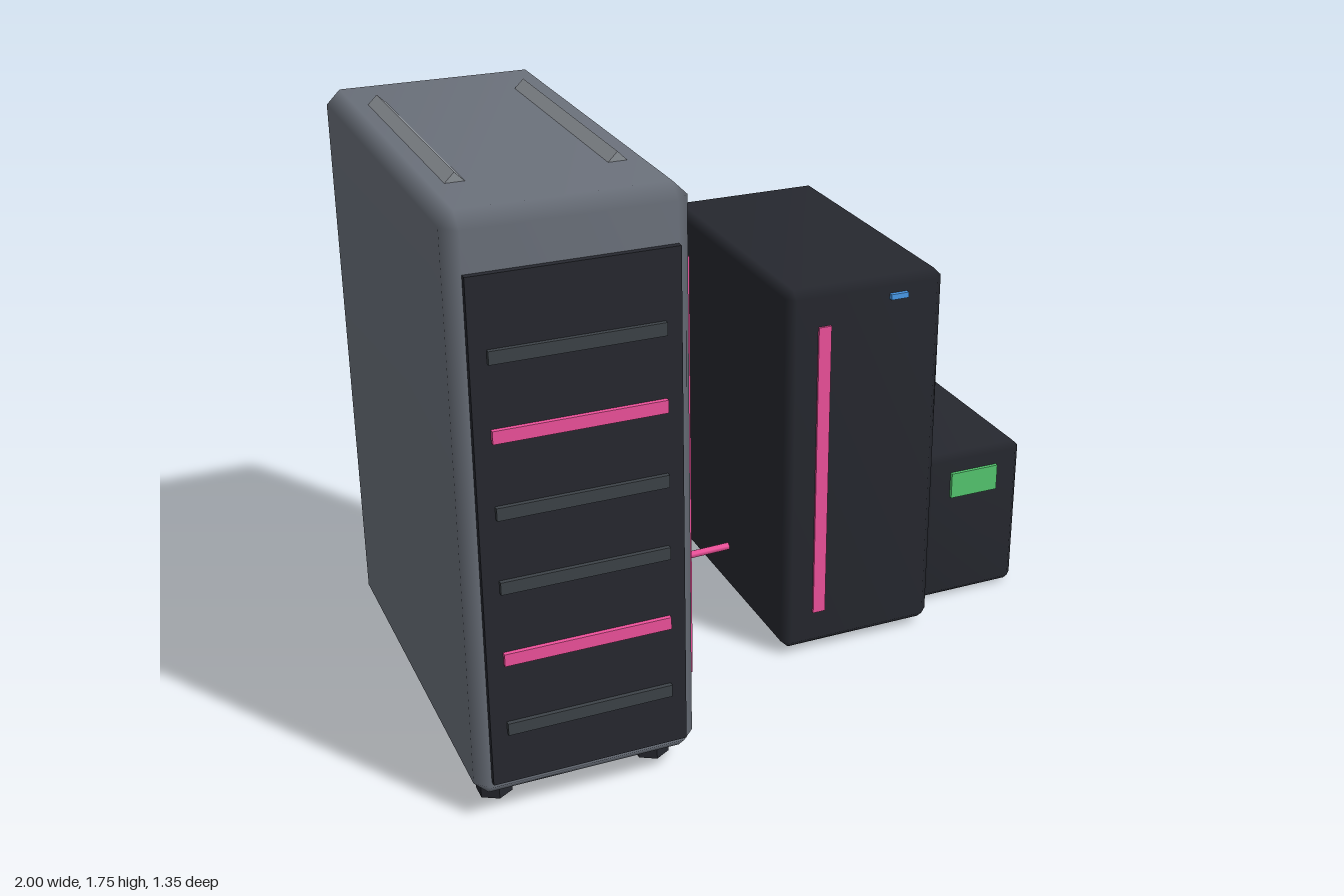
import * as THREE from 'three';
import { mergeVertices } from 'three/addons/utils/BufferGeometryUtils.js';
import { ConvexGeometry } from 'three/addons/geometries/ConvexGeometry.js';

const paint = (color, flatShading = false) => new THREE.MeshStandardMaterial({ color, flatShading });
const mats = {
  grey: paint(0x6b717b), dark: paint(0x26282f), slat: paint(0x3d4348), rail: paint(0x8d9298, true),
  foot: paint(0x26282f, true), pink: paint(0xf0529c), pinkRing: paint(0xf0529c, true),
  cyanRing: paint(0x38c4dc, true), green: paint(0x55c870), blue: paint(0x4a9cec),
};

// Box with one chamfer along every edge and softened normals
function chamferBox(w, h, d, c) {
  const pts = [];
  for (const x of [-1, 1]) for (const y of [-1, 1]) for (const z of [-1, 1]) {
    for (let axis = 0; axis < 3; axis++) {
      const inset = [c, c, c];
      inset[axis] = 0;
      pts.push(new THREE.Vector3(
        x * (w / 2 - inset[0]), y * (h / 2 - inset[1]), z * (d / 2 - inset[2])));
    }
  }
  const raw = new ConvexGeometry(pts);
  raw.deleteAttribute('normal');
  const geo = mergeVertices(raw, 1e-5);
  geo.computeVertexNormals();
  return geo;
}

function add(parent, name, geo, mat, x = 0, y = 0, z = 0) {
  const mesh = new THREE.Mesh(geo, mat);
  mesh.name = name;
  mesh.position.set(x, y, z);
  parent.add(mesh);
  return mesh;
}

// Block given by its limits on each axis, with an optional chamfer
function block(parent, name, mat, [x0, x1], [y0, y1], [z0, z1], chamfer = 0) {
  const size = [x1 - x0, y1 - y0, z1 - z0];
  const geo = chamfer ? chamferBox(...size, chamfer) : new THREE.BoxGeometry(...size);
  return add(parent, name, geo, mat, (x0 + x1) / 2, (y0 + y1) / 2, (z0 + z1) / 2);
}

function group(parent, name) {
  const g = new THREE.Group();
  g.name = name;
  parent.add(g);
  return g;
}

export function createModel() {
  const model = new THREE.Group();
  model.name = 'computerSet';

  // Tall server cabinet
  const cabinet = group(model, 'serverCabinet');
  block(cabinet, 'cabinetBody', mats.grey, [-1, -0.365], [0.07, 1.725], [-0.59, 0.645], 0.04);
  block(cabinet, 'cabinetFrontPanel', mats.dark, [-0.96, -0.405], [0.13, 1.575], [0.63, 0.663]);
  for (let i = 0; i < 6; i++) {
    const y = 0.302 + i * 0.2125;
    block(cabinet, 'driveSlot', i % 3 === 1 ? mats.pink : mats.slat,
      [-0.915, -0.45], [y - 0.018, y + 0.018], [0.65, 0.676]);
  }
  block(cabinet, 'cabinetSideLight', mats.pink, [-0.375, -0.351], [0.28, 1.51], [0.54, 0.58]);

  // Top rails and feet
  for (const x of [-0.898, -0.472]) {
    const rail = add(cabinet, 'topRail', new THREE.CylinderGeometry(0.026, 0.026, 0.765, 4),
      mats.rail, x, 1.725, 0.022);
    rail.rotation.x = Math.PI / 2;
  }
  for (const x of [-0.915, -0.45]) for (const z of [0.5, -0.45]) {
    add(cabinet, 'cabinetFoot', new THREE.CylinderGeometry(0.052, 0.052, 0.09, 6),
      mats.foot, x, 0.045, z);
  }

  // Desktop tower
  const tower = group(model, 'desktopTower');
  block(tower, 'towerBody', mats.dark, [0.105, 0.612], [0.02, 1.205], [-0.675, 0.215], 0.025);
  block(tower, 'towerBase', mats.dark, [0.155, 0.565], [0.002, 0.04], [-0.615, 0.155]);
  block(tower, 'towerSideWindow', mats.slat, [0.6, 0.62], [0.225, 1.08], [-0.555, 0.1]);
  block(tower, 'towerFrontLight', mats.pink, [0.2, 0.24], [0.14, 1.088], [0.2, 0.222]);
  block(tower, 'powerButton', mats.blue, [0.43, 0.486], [1.14, 1.157], [0.2, 0.228]);

  // Fan rings on the side window
  for (const [y, mat] of [[0.81, mats.pinkRing], [0.492, mats.cyanRing]]) {
    const ring = new THREE.TorusGeometry(0.138, 0.018, 6, 10);
    ring.rotateZ(Math.PI / 2).rotateY(Math.PI / 2);
    add(tower, 'fanRing', ring, mat, 0.634, y, -0.12);
  }

  // Small power unit
  const unit = group(model, 'powerUnit');
  block(unit, 'unitBody', mats.dark, [0.66, 1], [0.005, 0.512], [-0.635, 0.087], 0.02);
  block(unit, 'unitDisplay', mats.green, [0.745, 0.91], [0.365, 0.45], [0.07, 0.098]);

  // Cable between cabinet and tower
  const path = new THREE.LineCurve3(
    new THREE.Vector3(-0.39, 0.175, -0.195), new THREE.Vector3(0.13, 0.175, -0.215));
  add(model, 'linkCable', new THREE.TubeGeometry(path, 1, 0.013, 6), mats.pink);

  return model;
}
